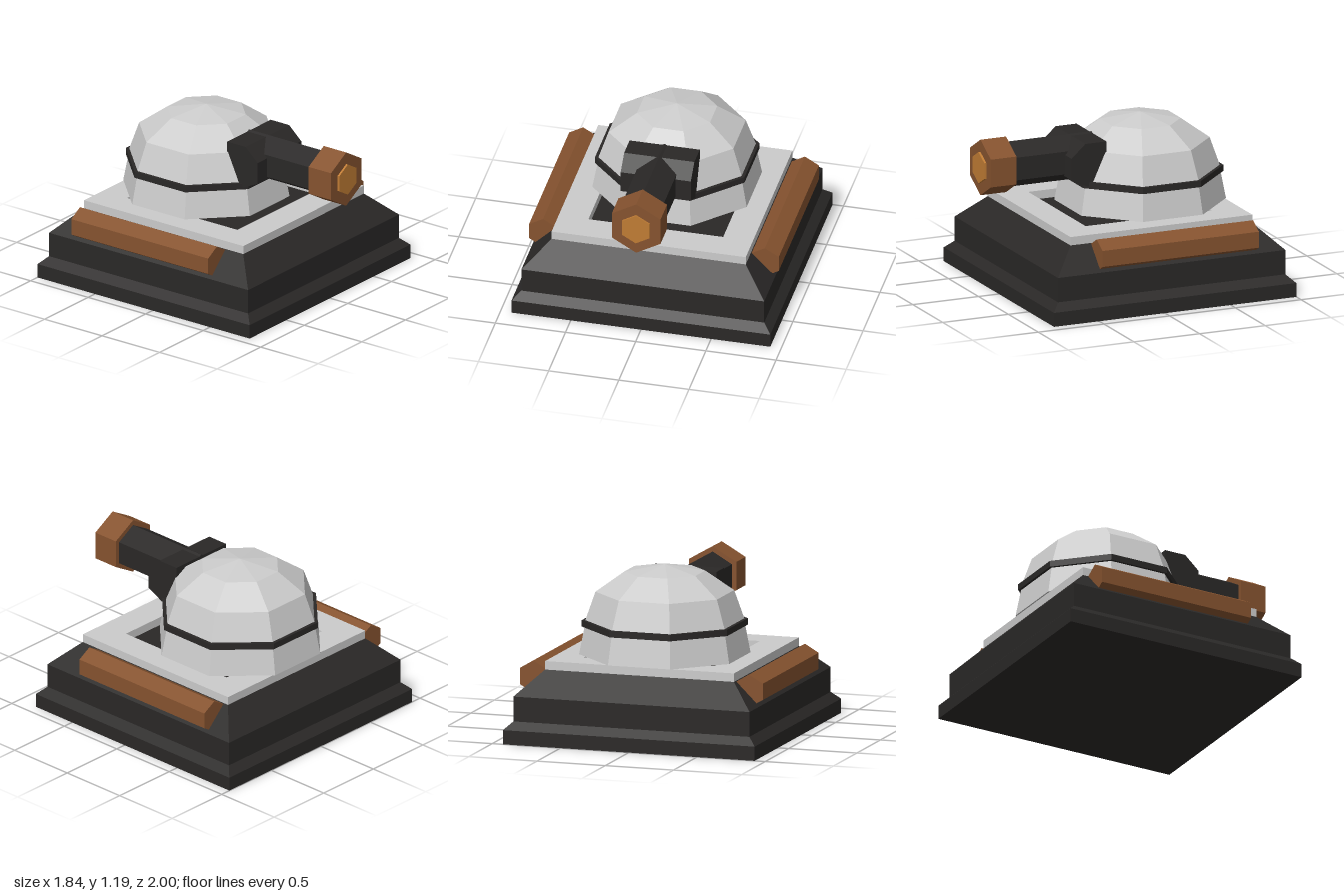
import * as THREE from 'three';

const paint = (color) => new THREE.MeshStandardMaterial({ color, flatShading: true });
const GREY = paint(0xcccccc);
const DARK = paint(0x2a2827);
const BROWN = paint(0x86532f);
const ORANGE = paint(0xc07c34);

const BASE_Z = -0.077, DOME_Z = -0.23, GUN_Y = 0.927;

export function createModel() {
  const model = new THREE.Group();

  const add = (name, geometry, material, x = 0, y = 0, z = 0) => {
    const mesh = new THREE.Mesh(geometry, material);
    mesh.name = name;
    mesh.position.set(x, y, z);
    model.add(mesh);
    return mesh;
  };

  // Turned solid with flat sides; profile is [distance to flat side, y]
  const faceted = (profile, sides) => {
    const k = 1 / Math.cos(Math.PI / sides);
    const points = profile.map(([r, y]) => new THREE.Vector2(r * k, y));
    return new THREE.LatheGeometry(points, sides, Math.PI / sides);
  };

  // Hexagonal bar along z, corner up, from z0 to z1
  const hexBar = (radius, z0, z1) =>
    new THREE.CylinderGeometry(radius, radius, z1 - z0, 6)
      .rotateX(Math.PI / 2).translate(0, 0, (z0 + z1) / 2);

  // Stepped square base
  add('base', faceted([
    [0, 0], [0.922, 0], [0.922, 0.1], [0.865, 0.155],
    [0.865, 0.33], [0.692, 0.5], [0, 0.5],
  ], 4), DARK, 0, 0, BASE_Z);

  // Deck plate with a square opening
  const square = (Type, h) => new Type([[-h, -h], [h, -h], [h, h], [-h, h]]
    .map(([x, y]) => new THREE.Vector2(x, y)));
  const deck = square(THREE.Shape, 0.692);
  deck.holes.push(square(THREE.Path, 0.48));
  add('deckPlate', new THREE.ExtrudeGeometry(deck, { depth: 0.06, bevelEnabled: false })
    .rotateX(-Math.PI / 2), GREY, 0, 0.5, BASE_Z);

  // Hexagonal side bars
  for (const [name, s] of [['leftBar', 1], ['rightBar', -1]])
    add(name, hexBar(0.115, -0.73, 0.46), BROWN, s * 0.79, 0.435, 0);

  // Eight-sided turret dome and its band
  add('dome', faceted([
    [0, 0.56], [0.55, 0.56], [0.515, 0.755], [0.51, 0.8],
    [0.445, 1.0], [0.26, 1.14], [0, 1.19],
  ], 8), GREY, 0, 0, DOME_Z);
  add('domeBand', faceted([
    [0.505, 0.755], [0.533, 0.755], [0.533, 0.8], [0.505, 0.8],
  ], 8), DARK, 0, 0, DOME_Z);

  // Chamfered gun mount, profile in (z, y) extruded across x
  const mount = new THREE.Shape([
    [0.14, 0.77], [0.28, 0.77], [0.405, 0.83], [0.405, 0.985], [0.3, 1.08], [0.14, 1.08],
  ].map(([z, y]) => new THREE.Vector2(-z, y)).reverse());
  add('gunMount', new THREE.ExtrudeGeometry(mount, { depth: 0.5, bevelEnabled: false })
    .translate(0, 0, -0.25).rotateY(Math.PI / 2), DARK);

  // Barrel, muzzle and glowing core
  add('barrel', hexBar(0.163, 0.14, 0.8), DARK, 0, GUN_Y);
  add('muzzle', hexBar(0.2, 0.79, 0.985), BROWN, 0, GUN_Y);
  add('muzzleCore', hexBar(0.113, 0.9, 1.0), ORANGE, 0, GUN_Y);

  return model;
}
